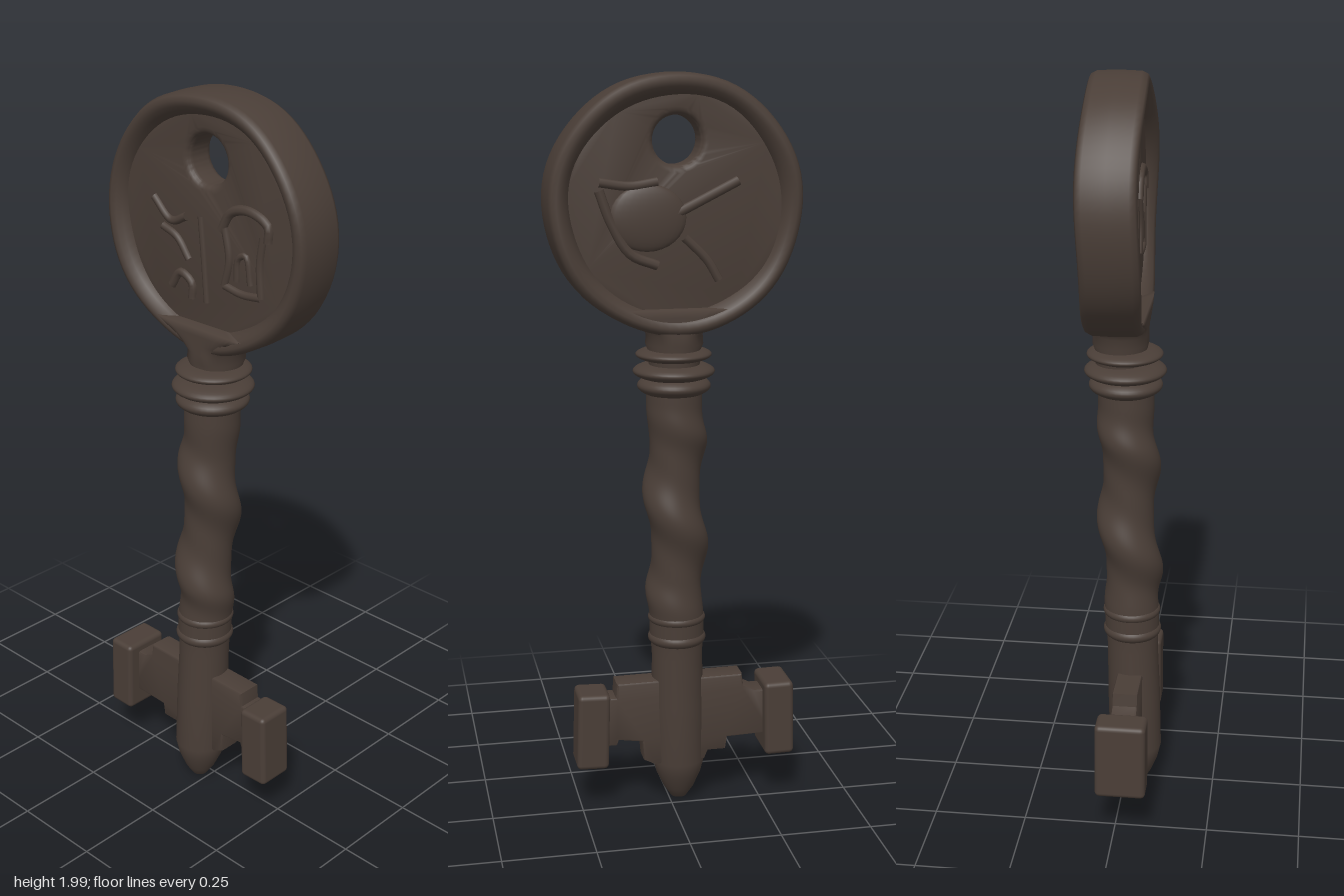
import * as THREE from 'three';
import { mergeVertices, toCreasedNormals } from 'three/addons/utils/BufferGeometryUtils.js';
import { RoundedBoxGeometry } from 'three/addons/geometries/RoundedBoxGeometry.js';

const V2 = (p) => new THREE.Vector2(p[0], p[1]);

// Move every vertex by a rule, then weld the seam and smooth.
function deform(geo, rule) {
  geo.deleteAttribute('uv');
  geo.deleteAttribute('normal');
  const pos = geo.attributes.position;
  const v = new THREE.Vector3();
  for (let i = 0; i < pos.count; i++) {
    v.fromBufferAttribute(pos, i);
    rule(v);
    pos.setXYZ(i, v.x, v.y, v.z);
  }
  const g = mergeVertices(geo, 1e-5);
  g.computeVertexNormals();
  return g;
}

export function createModel() {
  const key = new THREE.Group();
  key.name = 'key';
  const iron = new THREE.MeshStandardMaterial({ color: 0x4a3e37 });
  iron.name = 'dark iron';

  const add = (name, geo, parent = key) => {
    const mesh = new THREE.Mesh(geo, iron);
    mesh.name = name;
    parent.add(mesh);
    return mesh;
  };

  // The stem leans slightly, so its axis drifts with height.
  const axisX = (y) => -0.026 + 0.017 * y;
  const axisZ = (y) => 0.034 - 0.028 * y;
  const lean = (v) => {
    v.x += axisX(v.y);
    v.z += axisZ(v.y);
  };

  // Pointed tip and plain lower shaft
  const lower = [[0, 0.005], [0.022, 0.015], [0.042, 0.045], [0.062, 0.09], [0.072, 0.13],
    [0.072, 0.3], [0.069, 0.44], [0.071, 0.475], [0.072, 0.53]];
  add('lowerShaft', deform(new THREE.LatheGeometry(lower.map(V2), 40), lean));

  // Twisted shaft with a single helical ridge
  const twist = [];
  for (let i = 0; i <= 90; i++) twist.push(new THREE.Vector2(0.074, 0.5 + 0.72 * i / 90));
  add('twistedShaft', deform(new THREE.LatheGeometry(twist, 48), (v) => {
    const angle = Math.atan2(v.z, v.x);
    const phase = angle - (v.y - 0.9) * Math.PI * 2 / 0.3;
    const fade = THREE.MathUtils.smoothstep(v.y, 0.54, 0.66) * (1 - THREE.MathUtils.smoothstep(v.y, 1.03, 1.15));
    const k = 1 + fade * (0.15 * Math.cos(phase) + 0.04 * Math.cos(2 * phase));
    v.x *= k;
    v.z *= k;
    lean(v);
  }));

  // Rounded rings around the stem: [name, bottom, top, radius]
  const rings = [
    ['lowerRing', 0.47, 0.515, 0.079], ['lowerRing', 0.53, 0.57, 0.078],
    ['collar', 1.17, 1.222, 0.097], ['collar', 1.212, 1.258, 0.108],
    ['neckRing', 1.262, 1.297, 0.1],
  ];
  for (const [name, y0, y1, r] of rings) {
    const profile = [];
    for (let i = 0; i <= 12; i++) {
      const t = i / 12;
      const bulge = Math.pow(Math.sin(Math.PI * t), 0.6);
      profile.push(new THREE.Vector2(0.055 + (r - 0.055) * bulge, y0 + (y1 - y0) * t));
    }
    add(name, deform(new THREE.LatheGeometry(profile, 40), lean));
  }

  // Neck flaring sideways into the bow
  const neck = [[0.065, 1.2], [0.068, 1.29], [0.076, 1.31], [0.074, 1.335], [0.09, 1.36],
    [0.125, 1.385], [0.165, 1.405], [0, 1.41]];
  add('neck', deform(new THREE.LatheGeometry(neck.map(V2), 48), (v) => {
    v.z = THREE.MathUtils.clamp(v.z, -0.072, 0.072) - 0.012;
    v.x -= 0.004;
  }));

  // Bow: rim, recessed disc and relief share one slightly turned group
  const bow = new THREE.Group();
  bow.name = 'bow';
  bow.position.set(0, 1.668, -0.017);
  bow.rotation.y = 0.025;
  key.add(bow);

  const rimProfile = [[0.268, -0.035], [0.285, -0.058], [0.296, -0.07], [0.31, -0.075], [0.322, -0.07],
    [0.329, -0.056], [0.331, 0], [0.329, 0.056], [0.322, 0.07], [0.31, 0.075], [0.296, 0.07],
    [0.285, 0.058], [0.268, 0.035], [0.268, -0.035]];
  add('bowRim', deform(new THREE.LatheGeometry(rimProfile.map(V2), 80).rotateX(Math.PI / 2), (v) => {
    const a = Math.atan2(v.y, v.x);
    const k = 1 + 0.005 * Math.sin(3 * a + 1) + 0.004 * Math.sin(7 * a);
    v.x *= k;
    v.y *= k;
    v.z += 0.004 * Math.sin(4 * a);
  }), bow);

  const disc = new THREE.Shape().absarc(0, 0, 0.3, 0, Math.PI * 2, false);
  disc.holes.push(new THREE.Path().absarc(-0.002, 0.162, 0.062, 0, Math.PI * 2, true));
  const discGeo = new THREE.ExtrudeGeometry(disc, {
    depth: 0.05, bevelThickness: 0.02, bevelSize: 0.02, bevelOffset: -0.02, bevelSegments: 4, curveSegments: 32,
  });
  add('bowDisc', toCreasedNormals(discGeo.translate(0, 0, -0.025), 0.7), bow);

  // Worn raised lines on both faces: [side, radius, points]
  const lines = [
    [1, 0.011, [[0.06, 0.01], [0.075, -0.07], [0.06, -0.14]]],
    [1, 0.011, [[0.06, -0.14], [0.12, -0.15], [0.18, -0.145]]],
    [1, 0.011, [[0.18, -0.145], [0.175, -0.06], [0.185, 0.01]]],
    [1, 0.013, [[0.05, 0.0], [0.08, 0.05], [0.14, 0.065], [0.2, 0.04], [0.2, 0.0]]],
    [1, 0.009, [[0.1, -0.12], [0.105, -0.06], [0.13, -0.05], [0.145, -0.12]]],
    [1, 0.011, [[-0.18, 0.04], [-0.12, -0.01], [-0.07, 0.01]]],
    [1, 0.011, [[-0.15, -0.03], [-0.1, -0.05], [-0.06, -0.1]]],
    [1, 0.012, [[-0.12, -0.18], [-0.09, -0.14], [-0.05, -0.16], [-0.05, -0.2]]],
    [1, 0.009, [[-0.02, 0.02], [-0.01, -0.08], [0.0, -0.2]]],
    [-1, 0.013, [[0.2, 0.04], [0.17, -0.04], [0.12, -0.12], [0.05, -0.15]]],
    [-1, 0.012, [[0.2, 0.06], [0.12, 0.05], [0.05, 0.06]]],
    [-1, 0.013, [[0.0, -0.02], [-0.08, 0.02], [-0.16, 0.06]]],
    [-1, 0.012, [[-0.02, -0.08], [-0.08, -0.14], [-0.11, -0.19]]],
  ];
  for (const [side, r, pts] of lines) {
    const curve = new THREE.CatmullRomCurve3(pts.map(([x, y]) => new THREE.Vector3(x, y, side * 0.044)));
    add('reliefLine', new THREE.TubeGeometry(curve, 16, r, 8), bow);
  }
  const boss = add('reliefBoss', new THREE.SphereGeometry(1, 24, 16), bow);
  boss.scale.set(0.1, 0.085, 0.02);
  boss.position.set(0.075, -0.03, -0.044);

  // Stepped plate of the bit
  const outline = [[-0.28, 0.2], [-0.155, 0.195], [-0.15, 0.16], [-0.1, 0.16], [-0.09, 0.135], [0.05, 0.13],
    [0.08, 0.145], [0.085, 0.2], [0.15, 0.21], [0.155, 0.195], [0.2, 0.195], [0.2, 0.335], [0.158, 0.335],
    [0.155, 0.375], [-0.195, 0.38], [-0.2, 0.345], [-0.23, 0.33], [-0.28, 0.33]];
  const plate = new THREE.ExtrudeGeometry(new THREE.Shape(outline.map(V2)), {
    depth: 0.054, bevelThickness: 0.008, bevelSize: 0.006, bevelOffset: -0.006, bevelSegments: 2,
  });
  add('bitPlate', toCreasedNormals(plate.translate(0, 0, -0.007), 0.6));

  // Blocks at both ends of the bit
  const blocks = [
    ['rightBitBlock', [0.082, 0.212, 0.135], [-0.296, 0.25, 0.022], 0.02],
    ['leftBitBlock', [0.088, 0.215, 0.105], [0.22, 0.24, 0.029], -0.03],
  ];
  for (const [name, size, at, tilt] of blocks) {
    const block = add(name, new RoundedBoxGeometry(...size, 3, 0.013));
    block.position.set(...at);
    block.rotation.z = -tilt;
  }

  return key;
}
